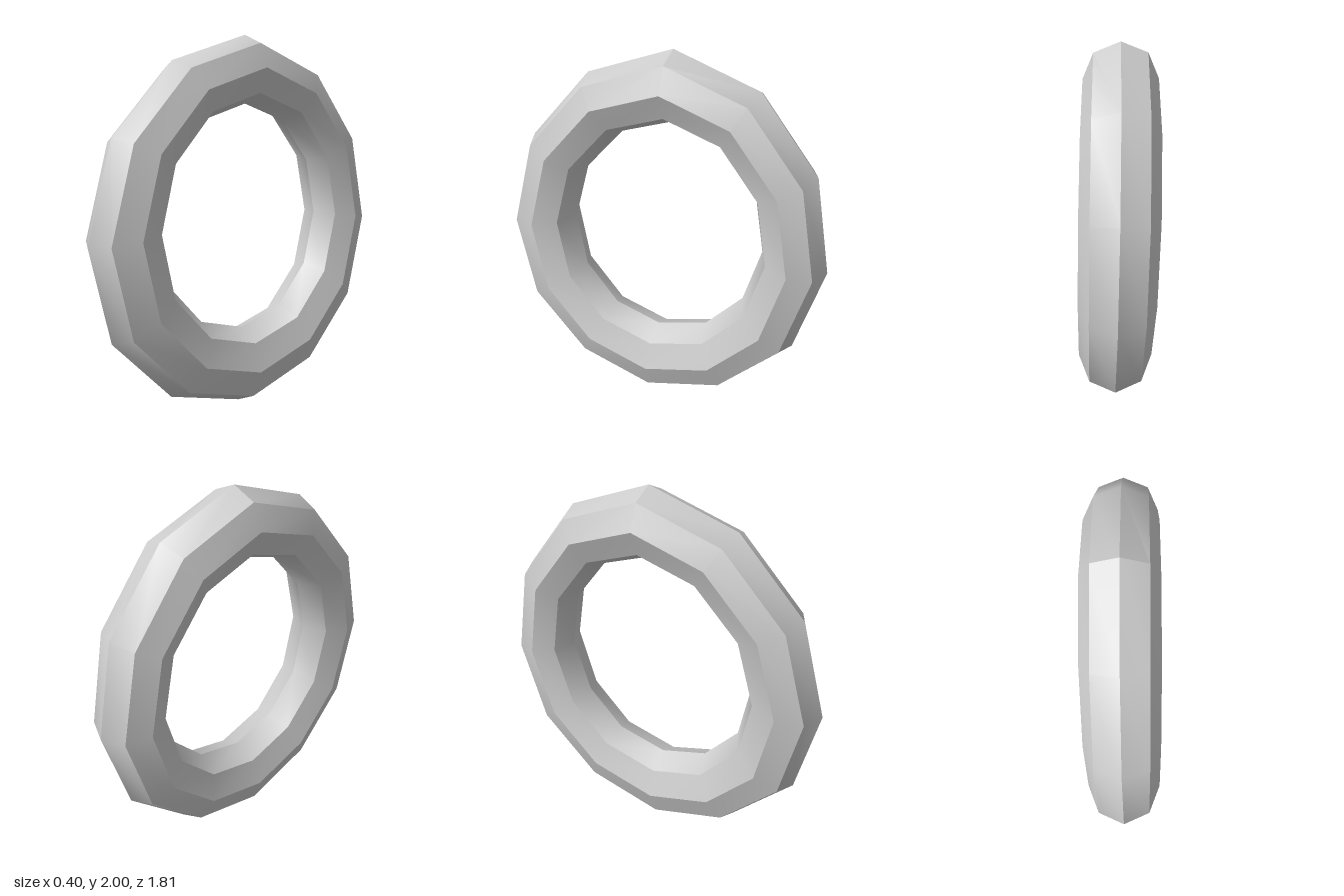
import * as THREE from 'three';
import { toCreasedNormals } from 'three/addons/utils/BufferGeometryUtils.js';

// Twelve stations round the ring: outer z, y, then inner z, y
const STATIONS = [
  [-0.053, 2.0, -0.053, 1.64],
  [-0.497, 1.843, -0.323, 1.552],
  [-0.804, 1.466, -0.508, 1.323],
  [-0.905, 0.968, -0.566, 1.016],
  [-0.772, 0.481, -0.481, 0.714],
  [-0.429, 0.132, -0.28, 0.497],
  [0.026, 0.0, 0.005, 0.418],
  [0.47, 0.132, 0.275, 0.497],
  [0.8, 0.481, 0.466, 0.714],
  [0.905, 0.968, 0.524, 1.016],
  [0.762, 1.466, 0.44, 1.323],
  [0.413, 1.843, 0.228, 1.552],
];
const SIDES = 8;
const HALF_WIDTH = 0.181;

// Octagonal section swept round the stations, leaning slightly sideways
function ringGeometry() {
  const positions = [];
  const index = [];
  const count = STATIONS.length;
  STATIONS.forEach(([oz, oy, iz, iy], s) => {
    const midZ = (oz + iz) / 2, midY = (oy + iy) / 2;
    const lean = 0.002 - 0.0215 * (midY - 1) / 0.82;
    for (let k = 0; k < SIDES; k++) {
      const a = (k / SIDES) * Math.PI * 2;
      const c = Math.cos(a);
      positions.push(
        lean + HALF_WIDTH * Math.sin(a),
        midY + c * (oy - iy) / 2,
        midZ + c * (oz - iz) / 2,
      );
      const k1 = (k + 1) % SIDES;
      const here = s * SIDES, next = ((s + 1) % count) * SIDES;
      index.push(here + k, here + k1, next + k, here + k1, next + k1, next + k);
    }
  });
  const geometry = new THREE.BufferGeometry();
  geometry.setAttribute('position', new THREE.Float32BufferAttribute(positions, 3));
  geometry.setIndex(index);
  // Smooth along the ring, sharp between the bands of the section
  return toCreasedNormals(geometry, THREE.MathUtils.degToRad(35));
}

export function createModel() {
  const group = new THREE.Group();
  group.name = 'ringModel';
  const ring = new THREE.Mesh(
    ringGeometry(),
    new THREE.MeshStandardMaterial({ color: 0xcccccc }),
  );
  ring.name = 'ring';
  group.add(ring);
  return group;
}
